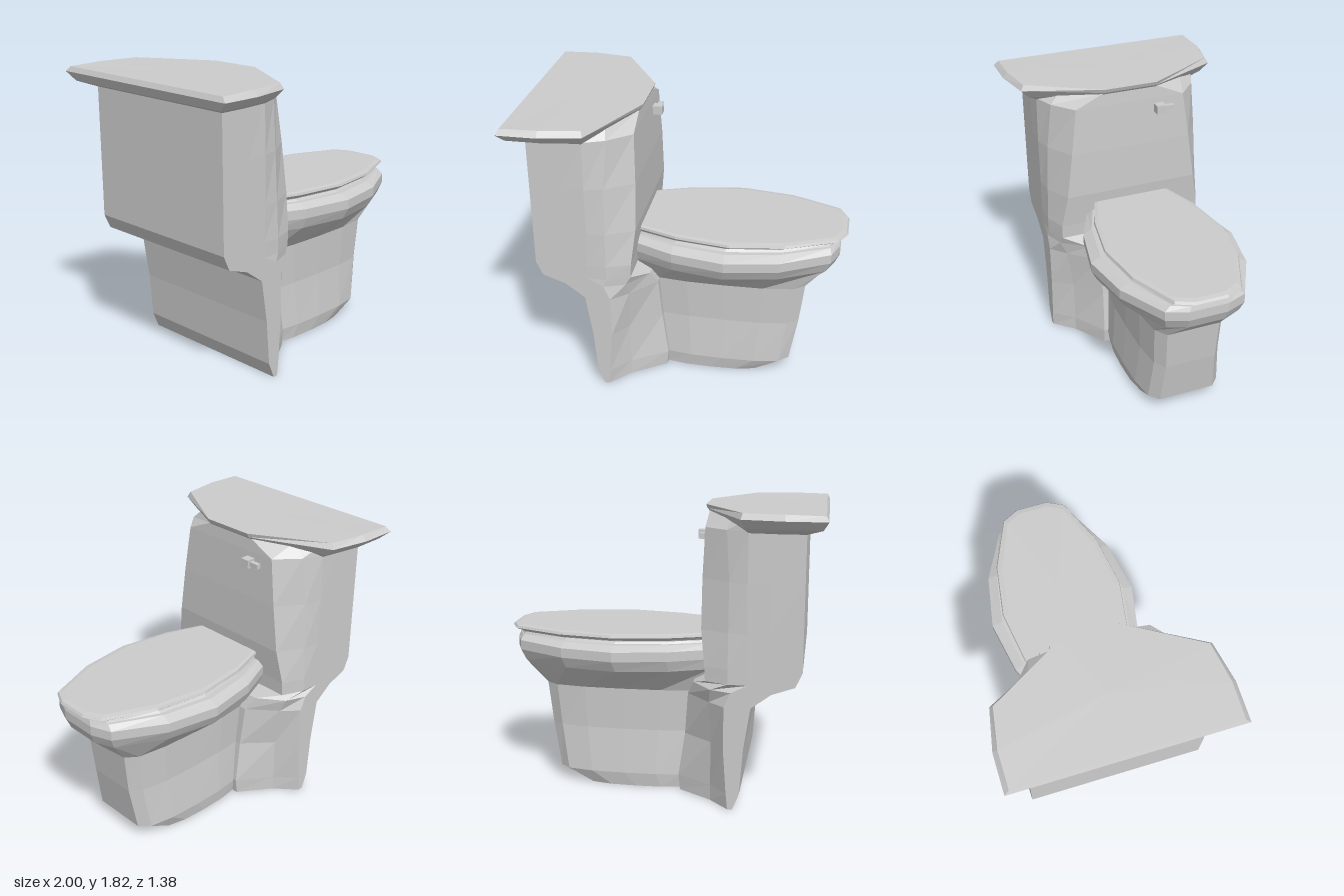
import * as THREE from 'three';

const material = new THREE.MeshStandardMaterial({ color: 0xcccccc, flatShading: true });

// Closed faceted solid through stacked half outlines of [x, y, z] (back to front, z > 0), mirrored in z.
function loft(name, halves) {
  const rings = halves.map(h => [...h, ...h.map(([x, y, z]) => [x, y, -z]).reverse()]);
  const n = rings[0].length, pos = [];
  const tri = (a, b, c) => pos.push(...a, ...b, ...c);
  const centre = r => [0, 1, 2].map(k => r.reduce((s, p) => s + p[k], 0) / n);
  for (let i = 0; i < n; i++) {
    const j = (i + 1) % n;
    for (let k = 0; k < rings.length - 1; k++) {
      const lo = rings[k], hi = rings[k + 1];
      tri(lo[i], lo[j], hi[j]);
      tri(lo[i], hi[j], hi[i]);
    }
    const bottom = rings[0], top = rings[rings.length - 1];
    tri(centre(bottom), bottom[j], bottom[i]);
    tri(centre(top), top[i], top[j]);
  }
  const geo = new THREE.BufferGeometry();
  geo.setAttribute('position', new THREE.Float32BufferAttribute(pos, 3));
  geo.computeVertexNormals();
  const mesh = new THREE.Mesh(geo, material);
  mesh.name = name;
  return mesh;
}

const level = (y, points) => points.map(([x, z]) => [x, y, z]);

// Unit half outlines: position along the length, fraction of the half width
const ovalShape = [[0, .64], [.2, .87], [.46, 1], [.72, .87], [.96, .53], [1, .26]];
const footShape = [[0, .9], [.2, .98], [.46, 1], [.72, .98], [.92, .88], [1, .67]];
const outline = (shape, y, back, front, half) =>
  shape.map(([u, w]) => [back + u * (front - back), y, w * half]);

function box(name, w, h, d, x, y, z) {
  const mesh = new THREE.Mesh(new THREE.BoxGeometry(w, h, d), material);
  mesh.name = name;
  mesh.position.set(x, y, z);
  return mesh;
}

export function createModel() {
  const model = new THREE.Group();
  model.name = 'toilet';

  // Tank and the flared base below it, one continuous column
  model.add(loft('tankAndBase', [
    level(0, [[-.48, .54], [-.47, .54], [-.45, .54], [-.33, .41], [-.12, .27]]),
    level(.1, [[-.52, .54], [-.49, .54], [-.44, .54], [-.33, .41], [-.11, .27]]),
    level(.38, [[-.54, .54], [-.5, .54], [-.42, .54], [-.33, .41], [-.15, .26]]),
    level(.65, [[-.58, .54], [-.53, .54], [-.42, .54], [-.32, .45], [-.17, .28]]),
    level(.74, [[-.70, .54], [-.6, .54], [-.46, .54], [-.33, .49], [-.21, .33]]),
    level(.79, [[-.84, .54], [-.68, .54], [-.56, .54], [-.44, .535], [-.30, .48]]),
    level(.88, [[-.88, .54], [-.68, .54], [-.56, .54], [-.44, .535], [-.295, .48]]),
    level(1.1, [[-.88, .54], [-.68, .54], [-.55, .54], [-.44, .525], [-.27, .44]]),
    level(1.4, [[-.88, .54], [-.68, .54], [-.55, .54], [-.44, .51], [-.27, .40]]),
    level(1.7, [[-.88, .54], [-.68, .54], [-.55, .535], [-.42, .48], [-.28, .36]]),
    level(1.78, [[-.88, .54], [-.68, .54], [-.56, .53], [-.44, .40], [-.285, .18]]),
  ]));

  // Tank cover with bevelled rim, its lower edge rising at the front
  model.add(loft('tankCover', [
    [[-.88, 1.69, .54], [-.72, 1.69, .54], [-.55, 1.69, .53], [-.30, 1.76, .18]],
    [[-.97, 1.725, .63], [-.76, 1.725, .63], [-.53, 1.725, .59], [-.29, 1.77, .18]],
    [[-1, 1.78, .69], [-.76, 1.78, .69], [-.51, 1.78, .64], [-.27, 1.79, .17]],
    [[-.985, 1.81, .66], [-.76, 1.815, .66], [-.52, 1.815, .62], [-.26, 1.815, .17]],
  ]));

  // Pedestal flaring out into the rim of the bowl
  model.add(loft('bowl', [
    outline(footShape, 0, -.12, .51, .255),
    outline(footShape, .09, -.12, .68, .27),
    outline(footShape, .38, -.15, .73, .245),
    outline(footShape, .65, -.18, .76, .255),
    outline(ovalShape, .81, -.31, .93, .44),
    outline(ovalShape, .88, -.31, .96, .475),
    outline(ovalShape, .94, -.31, .96, .475),
    outline(ovalShape, .97, -.31, .95, .41),
  ]));

  // Seat ring and closed lid
  model.add(loft('seat', [
    outline(ovalShape, .965, -.3, .95, .38),
    outline(ovalShape, .985, -.3, .945, .365),
    outline(ovalShape, 1, -.3, .96, .37),
  ]));
  model.add(loft('seatLid', [
    outline(ovalShape, .99, -.3, .95, .37),
    outline(ovalShape, 1.01, -.3, 1, .395),
    outline(ovalShape, 1.025, -.3, .99, .39),
    outline(ovalShape, 1.03, -.3, .96, .36),
  ]));

  // Flush handle on the front of the tank
  const handle = new THREE.Group();
  handle.name = 'flushHandle';
  handle.add(box('handleKnob', .06, .055, .06, -.25, 1.637, -.19));
  handle.add(box('handleArm', .03, .03, .07, -.25, 1.637, -.25));
  model.add(handle);

  return model;
}
